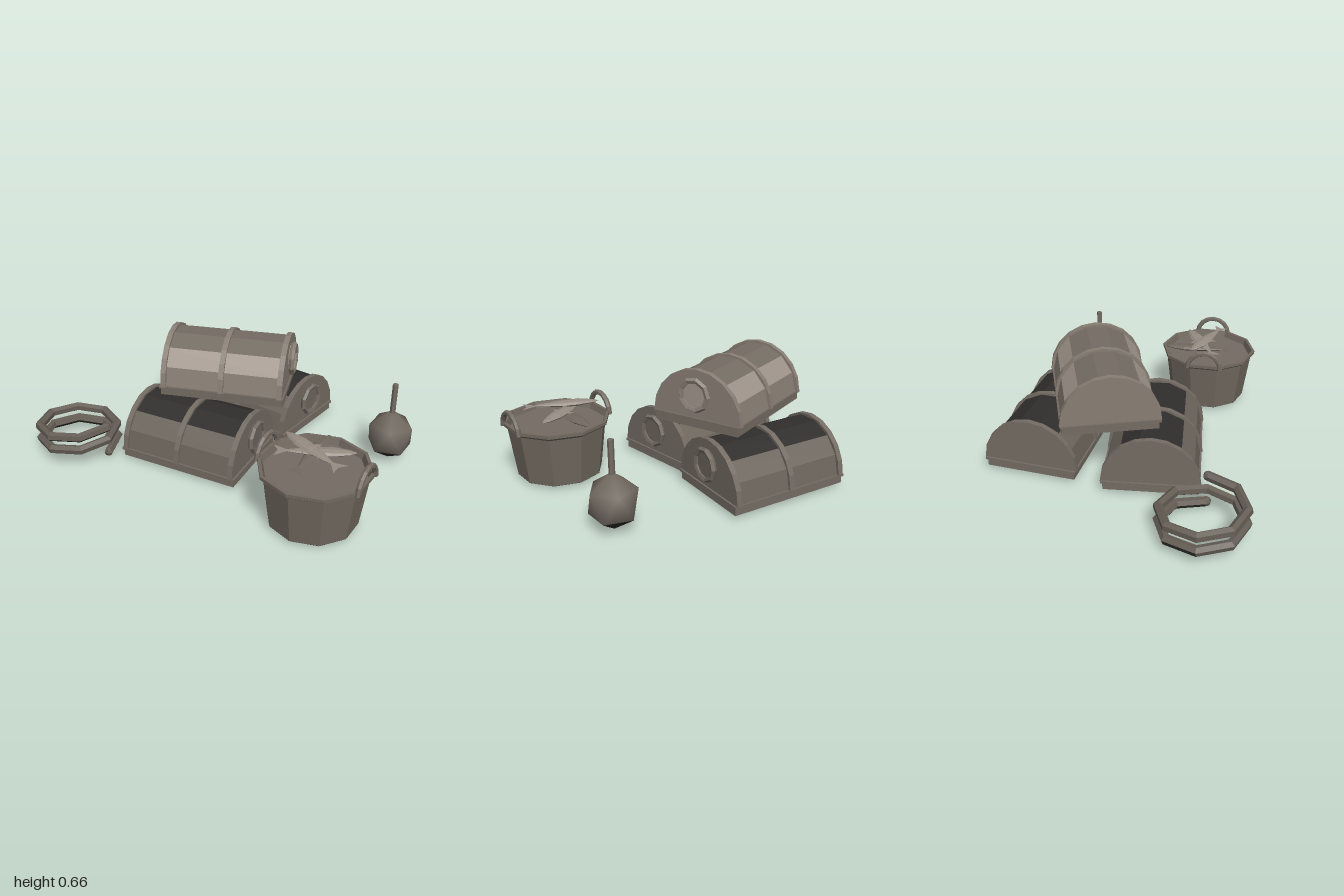
import * as THREE from 'three';
import { mergeVertices } from 'three/addons/utils/BufferGeometryUtils.js';

const mat = (name, color, side = THREE.FrontSide, flatShading = true) => {
  const m = new THREE.MeshStandardMaterial({ color, side, flatShading });
  m.name = name;
  return m;
};

// Gives every downward face of an indexed geometry material 1, the rest material 0
function splitUnderside(geometry, limit) {
  const p = geometry.attributes.position, idx = geometry.index;
  const corner = k => new THREE.Vector3().fromBufferAttribute(p, idx.getX(k));
  const tri = new THREE.Triangle(), n = new THREE.Vector3();
  geometry.clearGroups();
  for (let i = 0; i < idx.count; i += 3) {
    tri.set(corner(i), corner(i + 1), corner(i + 2)).getNormal(n);
    geometry.addGroup(i, 3, n.y < limit ? 1 : 0);
  }
  return geometry;
}

export function createModel() {
  const model = new THREE.Group();
  model.name = 'fishingGear';

  const brightNet = mat('brightNet', 0xa0958b);
  const paleNet = mat('paleNet', 0x887e74);
  const net = mat('net', 0x6d665d);
  const dark = mat('dark', 0x2f2e2c);
  const frame = mat('frame', 0x746c63);
  const rope = mat('rope', 0x655e55);
  const wood = mat('bucketWood', 0x71695f, THREE.DoubleSide);
  const fishSkin = mat('fishSkin', 0x968c82, THREE.DoubleSide);
  const buoyPaint = mat('buoyPaint', 0x756d63, THREE.FrontSide, false);

  const add = (parent, name, geometry, material, x = 0, y = 0, z = 0) => {
    const m = new THREE.Mesh(geometry, material);
    m.name = name;
    m.position.set(x, y, z);
    parent.add(m);
    return m;
  };
  const group = (name, x, y, z, yaw = 0, parent = model) => {
    const g = new THREE.Group();
    g.name = name;
    g.position.set(x, y, z);
    g.rotation.y = yaw;
    parent.add(g);
    return g;
  };

  // Half barrel lying along x
  const arch = (r, length, sides) =>
    new THREE.CylinderGeometry(r, r, length, sides, 1, false, 0, Math.PI).rotateZ(Math.PI / 2);

  // Domed trap: base, net body, three hoops, round entrance on the +x end.
  // colours: [lowest facets, shoulder facets, top facets, ends]
  function trap(name, x, y, z, yaw, colours, hoopMat) {
    const g = group(name, x, y, z, yaw);
    const baseMats = [frame, frame, frame, dark, frame, frame];
    add(g, 'base', new THREE.BoxGeometry(0.7, 0.045, 0.51), baseMats, 0, 0.0225);
    add(g, 'baseLip', new THREE.BoxGeometry(0.715, 0.014, 0.53), baseMats, 0, 0.047);
    const body = arch(0.256, 0.69, 7);
    const total = body.index.count;
    body.clearGroups();
    [0, 1, 2, 2, 2, 1, 0].forEach((c, i) => body.addGroup(i * 6, 6, c));
    body.addGroup(42, total - 42, 3);
    add(g, 'netBody', body, colours, 0, 0.052);
    for (const bx of [-0.332, 0, 0.332]) {
      add(g, 'hoop', arch(0.269, 0.03, 10), hoopMat, bx, 0.05);
    }
    const ring = new THREE.TorusGeometry(0.082, 0.016, 5, 9).rotateY(Math.PI / 2);
    add(g, 'entranceRing', ring, hoopMat, 0.366, 0.185);
    const disc = new THREE.CylinderGeometry(0.08, 0.08, 0.03, 9).rotateZ(-Math.PI / 2);
    add(g, 'entrance', disc, colours[3], 0.352, 0.185);
  }
  trap('backTrap', -0.0925, 0.022, -0.452, -0.087, [net, net, dark, net], frame);
  trap('frontTrap', -0.14, 0.022, 0.16, 0.1, [net, net, dark, net], frame);
  trap('topTrap', -0.12, 0.345, -0.14, 0.35, [paleNet, brightNet, frame, brightNet], paleNet);

  // Coiled rope: two turns of a coarse helix, dark underneath
  class Helix extends THREE.Curve {
    getPoint(t, target = new THREE.Vector3()) {
      const a = -t * Math.PI * 4;
      return target.set(0.218 * Math.cos(a), 0.045 + 0.16 * t, 0.218 * Math.sin(a));
    }
    getPointAt(t, target) { return this.getPoint(t, target); }
  }
  const coil = group('ropeCoil', -0.757, 0, 0.5);
  const helix = new Helix();
  add(coil, 'rope', splitUnderside(new THREE.TubeGeometry(helix, 16, 0.027, 6), -0.3), [rope, dark]);
  for (const t of [0, 1]) {
    const p = helix.getPoint(t);
    add(coil, 'ropeEnd', new THREE.SphereGeometry(0.026, 6, 4), rope, p.x, p.y, p.z);
  }

  // Ten-sided bucket with a flared rim and two side handles
  const bucket = group('bucket', 0.7, 0, 0.36);
  const profile = [[0.236, 0.02], [0.272, 0.3], [0.293, 0.316], [0.293, 0.334], [0.276, 0.334],
    [0.255, 0.27]].map(p => new THREE.Vector2(...p));
  add(bucket, 'bucketWall', new THREE.LatheGeometry(profile, 10), wood);
  add(bucket, 'bucketBottom', new THREE.CylinderGeometry(0.236, 0.236, 0.004, 10), dark, 0, 0.021);
  add(bucket, 'bucketFill', new THREE.CylinderGeometry(0.262, 0.255, 0.02, 10), frame, 0, 0.29);
  for (const s of [-1, 1]) {
    const handle = new THREE.TorusGeometry(0.1, 0.015, 6, 8, Math.PI).rotateY(Math.PI / 2);
    add(bucket, 'handle', handle, frame, s * 0.274, 0.315);
  }

  // Fish: slim flattened body, forked tail and side fins lying flat
  const points = list => list.map(p => new THREE.Vector2(...p));
  const tailShape = new THREE.Shape(
    points([[0, 0.008], [0.065, 0.05], [0.045, 0], [0.065, -0.05], [0, -0.008]]));
  const finShape = new THREE.Shape(points([[-0.05, 0], [0.03, 0.07], [0.04, 0]]));
  const bodyProfile = points(
    [[0, -0.18], [0.022, -0.14], [0.04, -0.06], [0.038, 0.02], [0.02, 0.12], [0.006, 0.18]]);
  function fish(x, y, z, yaw, material) {
    const g = group('fish', x, y, z, yaw, bucket);
    const body = new THREE.LatheGeometry(bodyProfile, 8).rotateZ(-Math.PI / 2).scale(1, 0.4, 1);
    add(g, 'fishBody', body, material);
    add(g, 'fishTail', new THREE.ShapeGeometry(tailShape).rotateX(-Math.PI / 2), material, 0.17);
    for (const s of [-1, 1]) {
      const fin = new THREE.ShapeGeometry(finShape).rotateX(-Math.PI / 2).scale(0.7, 1, s);
      add(g, 'fishFin', fin, material);
    }
  }
  fish(-0.05, 0.405, -0.02, -0.38, fishSkin);
  fish(0.0, 0.375, -0.06, Math.PI + 0.5, fishSkin);
  fish(-0.05, 0.345, -0.09, -1.55, wood);

  // Buoy: twenty-faced float standing on its point, dark below, with a thin rod
  const buoy = group('buoy', 0.8, 0, -0.385);
  const ico = new THREE.IcosahedronGeometry(0.139, 0).rotateZ(-0.5536).scale(1, 1.1, 1);
  ico.deleteAttribute('normal');
  ico.deleteAttribute('uv');
  const float = mergeVertices(ico, 1e-4);
  float.computeVertexNormals();
  add(buoy, 'float', splitUnderside(float, -0.5), [buoyPaint, dark], 0, 0.155);
  add(buoy, 'rod', new THREE.CylinderGeometry(0.016, 0.016, 0.2, 6), frame, 0, 0.374);

  return model;
}
